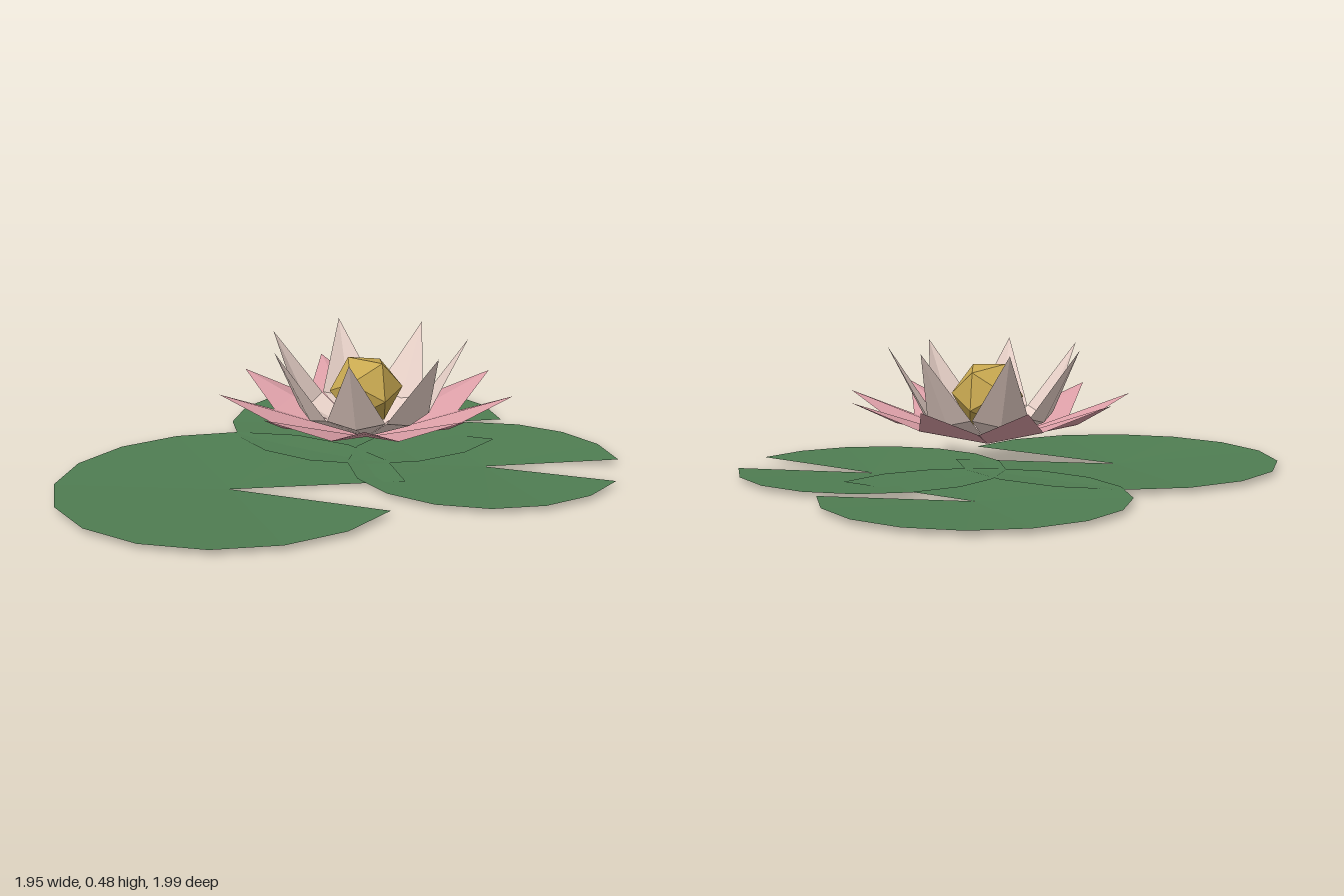
import * as THREE from 'three';

const mat = (color) => new THREE.MeshStandardMaterial({ color, flatShading: true, side: THREE.DoubleSide });
const padMat = mat(0x4f7d52);
const outerMat = mat(0xdb9ea6);
const innerMat = mat(0xe9d2c9);
const centreMat = mat(0xc8a850);

// Notched floating leaf: a very shallow dish, lowest at its centre
function lilyPad(name, x, z, radius) {
  const notch = 0.25;
  const geo = new THREE.CircleGeometry(radius, 15, notch, Math.PI * 2 - notch * 2);
  geo.rotateX(-Math.PI / 2);
  const pos = geo.attributes.position;
  for (let i = 1; i < pos.count; i++) pos.setY(i, 0.018);
  const mesh = new THREE.Mesh(geo, padMat);
  mesh.name = name;
  mesh.position.set(x, 0, z);
  return mesh;
}

// Creased pointed petal along +x: base, two sides, rib and tip
function petalGeometry({ side, rib, tip }) {
  const [s, h, w] = side;
  const geo = new THREE.BufferGeometry();
  geo.setAttribute('position', new THREE.Float32BufferAttribute([
    0, 0, 0, s, h, -w, s, h, w, rib[0], rib[1], 0, tip[0], tip[1], 0,
  ], 3));
  geo.setIndex([0, 3, 1, 0, 2, 3, 1, 3, 4, 3, 2, 4]);
  const flat = geo.toNonIndexed();
  flat.computeVertexNormals();
  return flat;
}

// Ring of equal petals around the flower axis
function petalRing(name, count, start, shape, material) {
  const ring = new THREE.Group();
  ring.name = name;
  const geo = petalGeometry(shape);
  for (let i = 0; i < count; i++) {
    const petal = new THREE.Mesh(geo, material);
    petal.name = name + 'Petal' + (i + 1);
    petal.rotation.y = -(start + (i / count) * Math.PI * 2);
    ring.add(petal);
  }
  return ring;
}

export function createModel() {
  const model = new THREE.Group();
  model.name = 'waterLily';

  // Leaves
  model.add(
    lilyPad('largePad', -0.365, 0.38, 0.622),
    lilyPad('backPad', -0.03, -0.465, 0.54),
    lilyPad('rightHandPad', 0.485, -0.045, 0.503),
  );

  // Flower
  const flower = new THREE.Group();
  flower.name = 'flower';
  flower.position.set(0.06, 0.115, 0.04);
  flower.add(
    petalRing('outer', 9, 0, { side: [0.32, 0.084, 0.12], rib: [0.32, 0.11], tip: [0.535, 0.185] }, outerMat),
    petalRing('inner', 7, -0.25, { side: [0.22, 0.12, 0.104], rib: [0.23, 0.095], tip: [0.37, 0.365] }, innerMat),
  );

  // Faceted heart of the flower
  const heart = new THREE.Mesh(new THREE.IcosahedronGeometry(0.133, 0), centreMat);
  heart.name = 'flowerHeart';
  heart.position.y = 0.185;
  heart.rotation.set(0.2, -0.3, 0);
  flower.add(heart);

  model.add(flower);
  return model;
}
